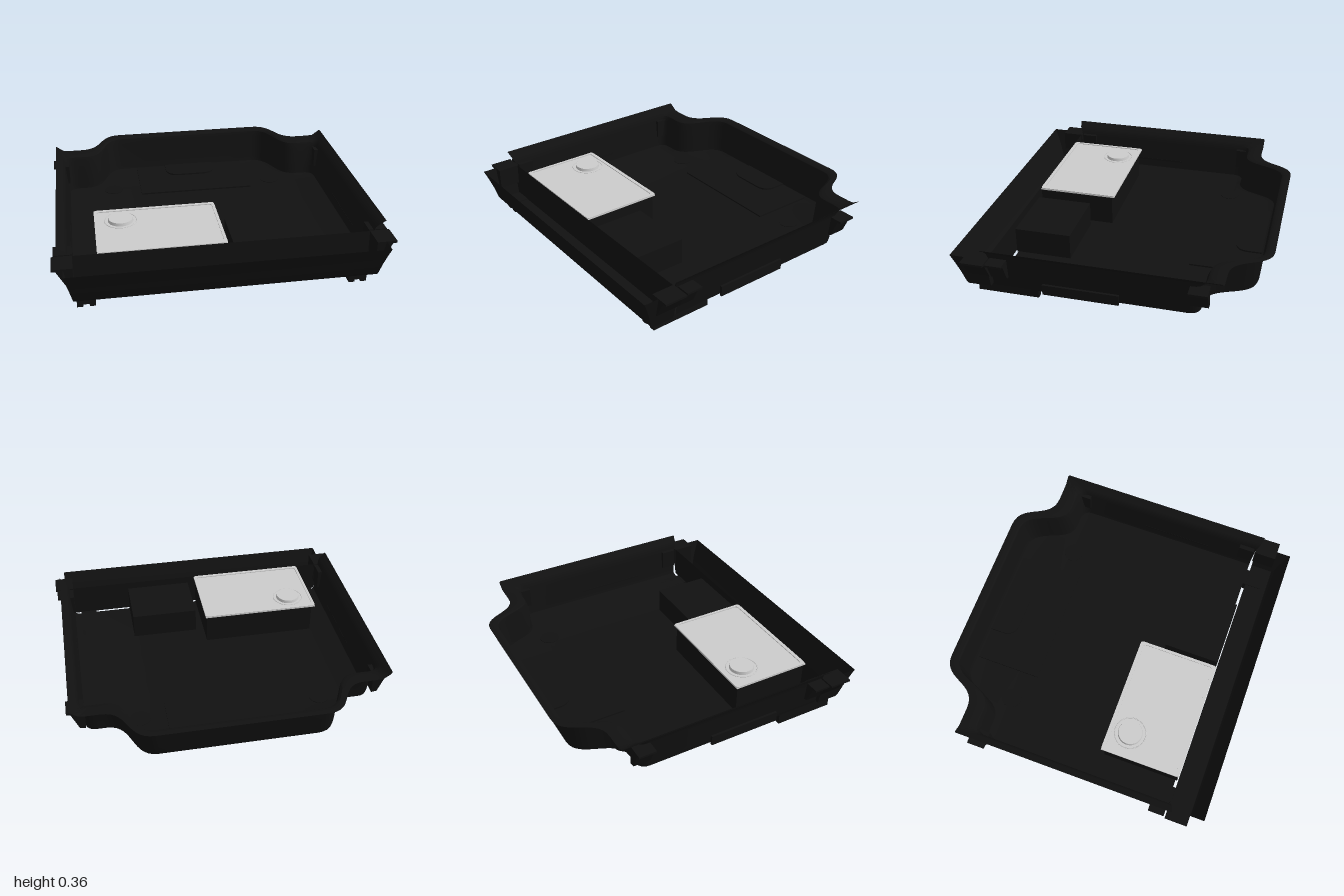
import * as THREE from 'three';
import { toCreasedNormals } from 'three/addons/utils/BufferGeometryUtils.js';
import { RoundedBoxGeometry } from 'three/addons/geometries/RoundedBoxGeometry.js';

const black = new THREE.MeshStandardMaterial({ color: 0x111111, side: THREE.DoubleSide });
const grey = new THREE.MeshStandardMaterial({ color: 0xcccccc, side: THREE.DoubleSide });

// Skin a surface between rings with equal point counts
function loft(rings, crease = 0.6) {
  const n = rings[0].length, pos = [], idx = [];
  rings.forEach(r => r.forEach(p => pos.push(p.x, p.y, p.z)));
  for (let i = 0; i < rings.length - 1; i++) {
    for (let j = 0; j < n - 1; j++) {
      const a = i * n + j, b = a + n;
      idx.push(a, b, a + 1, a + 1, b, b + 1);
    }
  }
  const g = new THREE.BufferGeometry();
  g.setAttribute('position', new THREE.Float32BufferAttribute(pos, 3));
  g.setIndex(idx);
  return toCreasedNormals(g, crease);
}

// Plan outline: straight side, round corner, S-bend, straight back; mirrored in x
function outline(front, xs, zb, r, xc, xk, zk, yOf) {
  const v = (x, z) => new THREE.Vector2(x, z), m = (xc - xk) * 0.6;
  const parts = [
    [new THREE.LineCurve(v(xs, front), v(xs, zb + r)), 4],
    [new THREE.QuadraticBezierCurve(v(xs, zb + r), v(xs, zb), v(xs - r, zb)), 6],
    [new THREE.LineCurve(v(xs - r, zb), v(xc, zb)), 4],
    [new THREE.CubicBezierCurve(v(xc, zb), v(xc - m, zb), v(xk + m, zk), v(xk, zk)), 14],
    [new THREE.LineCurve(v(xk, zk), v(0, zk)), 3],
  ];
  const half = [v(xs, front)];
  parts.forEach(([c, k]) => half.push(...c.getPoints(k).slice(1)));
  const all = [...half, ...half.slice(0, -1).reverse().map(p => v(-p.x, p.y))];
  return all.map(p => new THREE.Vector3(p.x, yOf(p.x), p.y));
}

export function createModel() {
  const root = new THREE.Group();
  const add = (name, geo, x = 0, y = 0, z = 0, mat = black) => {
    const m = new THREE.Mesh(geo, mat);
    m.name = name;
    m.position.set(x, y, z);
    root.add(m);
    return m;
  };
  const box = (name, x0, x1, y0, y1, z0, z1, mat = black) =>
    add(name, new THREE.BoxGeometry(x1 - x0, y1 - y0, z1 - z0),
      (x0 + x1) / 2, (y0 + y1) / 2, (z0 + z1) / 2, mat);

  // Tray: floor, sloping walls, flat back flange and upturned side lips
  const lipY = x => 0.315 + 0.043 * Math.min(1, Math.max(0, (Math.abs(x) - 0.9) / 0.065)) ** 1.5;
  const floor = outline(0.68, 0.86, -0.53, 0.06, 0.74, 0.47, -0.805, () => 0.072);
  const spine = floor.map(p => new THREE.Vector3(0, p.y, p.z));
  add('tray', loft([
    spine, floor,
    outline(0.68, 0.885, -0.555, 0.07, 0.76, 0.48, -0.83, () => 0.08),
    outline(0.68, 0.89, -0.56, 0.07, 0.76, 0.48, -0.84, () => 0.105),
    outline(0.69, 0.905, -0.575, 0.07, 0.76, 0.49, -0.855, () => 0.27),
    outline(0.7, 0.912, -0.59, 0.06, 0.76, 0.49, -0.865, () => 0.305),
    outline(0.71, 0.925, -0.61, 0.05, 0.77, 0.495, -0.88, lipY),
    outline(0.715, 0.948, -0.655, 0.025, 0.78, 0.5, -0.905, lipY),
    outline(0.72, 0.965, -0.69, 0.012, 0.79, 0.5, -0.922, lipY),
  ]));

  // Front trough: curved front face, floor and back wall, flared towards the top
  const section = [[0.92, 0.28], [0.895, 0.22], [0.872, 0.155], [0.852, 0.08], [0.84, 0.068],
    [0.7, 0.068], [0.695, 0.28]];
  const side = s => section.map(([z, y]) =>
    new THREE.Vector3(s * (0.89 + 0.045 * (y - 0.068) / 0.212), y, z));
  add('frontTrough', loft([side(-1), side(1)]));
  for (const s of [-1, 1]) {
    const p = side(s);
    add('troughEnd', loft([p.slice(0, 5), [p[6], p[6], p[5], p[5], p[5]]]));
  }

  // Wedge lugs on both sides
  const lug = (s, z0, z1, reach) => {
    const sh = new THREE.Shape([[0.88, 0.15], [0.915, 0.155], [reach - 0.025, 0.265], [reach, 0.268],
      [reach, 0.28], [0.88, 0.28]].map(([x, y]) => new THREE.Vector2(s * x, y)));
    add('sideLug', new THREE.ExtrudeGeometry(sh, { depth: z1 - z0, bevelEnabled: false }), 0, 0, z0);
  };
  for (const s of [-1, 1]) {
    lug(s, 0.69, 0.83, 1);
    lug(s, 0.58, 0.68, 0.99);
    lug(s, -0.61, -0.5, 0.985);
    // Low panel on the outer wall
    box('sidePanel', s * 0.9 - 0.008, s * 0.9 + 0.008, 0.075, 0.14, -0.09, 0.37);
    // Long front foot with a groove, and round back foot
    const fx = s * 0.805 - 0.015;
    for (const k of [-1, 1])
      box('frontFootRail', fx + k * 0.036 - 0.018, fx + k * 0.036 + 0.018, 0, 0.072, 0.42, 0.8);
    box('frontFootWeb', fx - 0.02, fx + 0.02, 0.015, 0.072, 0.42, 0.8);
    add('backFoot', new THREE.CylinderGeometry(0.062, 0.062, 0.075, 32), s * 0.565 - 0.015, 0.0375, -0.505);
  }

  // Thin raised floor plate with a rounded thumb tab
  box('floorPlate', -0.39, 0.39, 0.07, 0.082, -0.82, -0.4);
  const tab = new THREE.Shape();
  tab.moveTo(-0.18, 0.82).lineTo(-0.18, 0.73).quadraticCurveTo(-0.17, 0.65, -0.09, 0.65);
  tab.lineTo(0.08, 0.65).quadraticCurveTo(0.165, 0.65, 0.17, 0.73).lineTo(0.17, 0.82);
  add('thumbTab', new THREE.ExtrudeGeometry(tab, { depth: 0.012, bevelEnabled: false }), 0, 0.08, 0)
    .rotation.x = -Math.PI / 2;

  // Blocks standing on the tray floor
  box('smallBlock', 0.065, 0.495, 0.07, 0.235, 0.335, 0.69);
  box('padBlock', -0.72, 0.01, 0.07, 0.268, 0.2, 0.69);

  // Grey pad with a raised border and a round knob
  add('pad', new RoundedBoxGeometry(0.76, 0.01, 0.51, 2, 0.004), -0.36, 0.273, 0.437, grey);
  const rr = (hw, hh, r, P) => {
    const p = new P();
    p.moveTo(-hw + r, -hh).lineTo(hw - r, -hh).quadraticCurveTo(hw, -hh, hw, -hh + r);
    p.lineTo(hw, hh - r).quadraticCurveTo(hw, hh, hw - r, hh).lineTo(-hw + r, hh);
    p.quadraticCurveTo(-hw, hh, -hw, hh - r).lineTo(-hw, -hh + r).quadraticCurveTo(-hw, -hh, -hw + r, -hh);
    return p;
  };
  const border = rr(0.38, 0.255, 0.02, THREE.Shape);
  border.holes.push(rr(0.362, 0.232, 0.02, THREE.Path));
  add('padBorder', new THREE.ExtrudeGeometry(border, { depth: 0.006, bevelEnabled: false }), -0.36, 0.277, 0.437, grey)
    .rotation.x = -Math.PI / 2;
  add('knob', new THREE.CylinderGeometry(0.074, 0.078, 0.02, 40), -0.58, 0.287, 0.32, grey);
  const ring = add('knobRing', new THREE.TorusGeometry(0.098, 0.003, 6, 48), -0.58, 0.278, 0.32, grey);
  ring.rotation.x = Math.PI / 2;

  return root;
}
